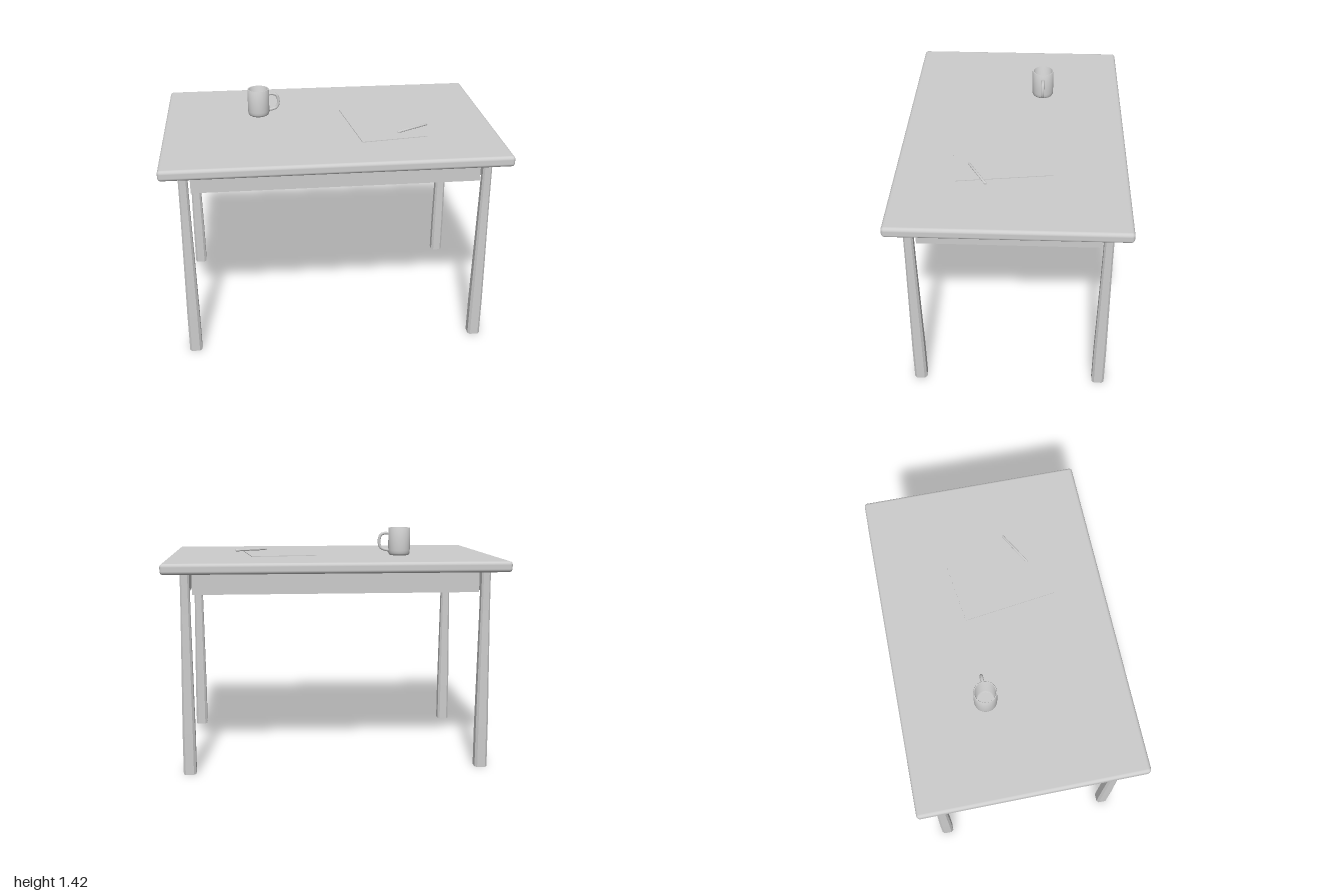
import * as THREE from 'three';
import { toCreasedNormals } from 'three/addons/utils/BufferGeometryUtils.js';
import { RoundedBoxGeometry } from 'three/addons/geometries/RoundedBoxGeometry.js';

const TOP = 1.25;
const UNDERSIDE = 1.187;

// Chamfered square post, slim above and thicker towards the foot
function legGeometry() {
  const h = 0.5, c = 0.32;
  const outline = [[h, -c], [h, c], [c, h], [-c, h], [-h, c], [-h, -c], [-c, -h], [c, -h]];
  const shape = new THREE.Shape(outline.map(([x, y]) => new THREE.Vector2(x, y)));
  const geometry = new THREE.ExtrudeGeometry(shape, { depth: 3, steps: 3, bevelEnabled: false });
  geometry.rotateX(-Math.PI / 2);
  const levels = [[0, 0.074], [0.25, 0.073], [0.95, 0.055], [UNDERSIDE + 0.01, 0.052]];
  const p = geometry.attributes.position;
  for (let i = 0; i < p.count; i++) {
    const [y, width] = levels[Math.round(p.getY(i))];
    p.setXYZ(i, p.getX(i) * width, y, p.getZ(i) * width);
  }
  geometry.computeVertexNormals();
  return geometry;
}

// Turned body from [radius, height] pairs
function turned(points, sides) {
  const profile = points.map(([r, y]) => new THREE.Vector2(r, y));
  return toCreasedNormals(new THREE.LatheGeometry(profile, sides), 0.7);
}

export function createModel() {
  const model = new THREE.Group();
  model.name = 'table';
  const grey = new THREE.MeshStandardMaterial({ color: 0xcccccc });
  grey.name = 'light grey';

  const add = (name, geometry, x, y, z, parent = model) => {
    const mesh = new THREE.Mesh(geometry, grey);
    mesh.name = name;
    mesh.position.set(x, y, z);
    parent.add(mesh);
    return mesh;
  };

  // Table top with rounded edges
  add('tableTop', new RoundedBoxGeometry(2, TOP - UNDERSIDE, 1.328, 4, 0.02), 0, (TOP + UNDERSIDE) / 2, 0);

  // Four legs
  const leg = legGeometry();
  for (const [sx, side] of [[1, 'Left'], [-1, 'Right']]) {
    for (const [sz, end] of [[1, 'front'], [-1, 'back']]) {
      add(`${end}${side}Leg`, leg, sx * 0.872, 0, sz * 0.543);
    }
  }

  // Apron boards between the legs
  const longBoard = new THREE.BoxGeometry(1.664, 0.117, 0.027);
  const shortBoard = new THREE.BoxGeometry(0.027, 0.117, 1.004);
  add('frontApron', longBoard, 0, 1.121, 0.543);
  add('backApron', longBoard, 0, 1.121, -0.543);
  add('leftApron', shortBoard, 0.872, 1.121, 0);
  add('rightApron', shortBoard, -0.872, 1.121, 0);

  // Mug: hollow body and looped handle
  const mug = new THREE.Group();
  mug.name = 'mug';
  mug.position.set(-0.419, TOP, -0.167);
  model.add(mug);
  add('mugBody', turned([
    [0, 0.001], [0.056, 0.001], [0.062, 0.005], [0.066, 0.014], [0.067, 0.03], [0.067, 0.165],
    [0.065, 0.169], [0.06, 0.169], [0.058, 0.165], [0.058, 0.022], [0.052, 0.012], [0, 0.011],
  ], 32), 0, 0, 0, mug);
  const handlePath = new THREE.CatmullRomCurve3([
    [0.06, 0.133], [0.09, 0.135], [0.113, 0.126], [0.124, 0.1],
    [0.124, 0.07], [0.113, 0.046], [0.09, 0.035], [0.06, 0.03],
  ].map(([x, y]) => new THREE.Vector3(x, y, 0)));
  add('mugHandle', new THREE.TubeGeometry(handlePath, 28, 0.009, 10), 0, 0, 0, mug);

  // Sheet of paper
  const paper = add('paper', new THREE.BoxGeometry(0.4, 0.004, 0.555), 0.33, TOP + 0.002, 0.063);
  paper.rotation.y = 0.134;

  // Pen lying on the paper, tip to the model's right
  const pen = turned([
    [0, -0.115], [0.003, -0.115], [0.007, -0.1], [0.007, 0.112], [0.005, 0.115], [0, 0.115],
  ], 12);
  pen.rotateZ(-Math.PI / 2);
  add('pen', pen, 0.497, TOP + 0.011, 0.193).rotation.y = 0.51;

  return model;
}
